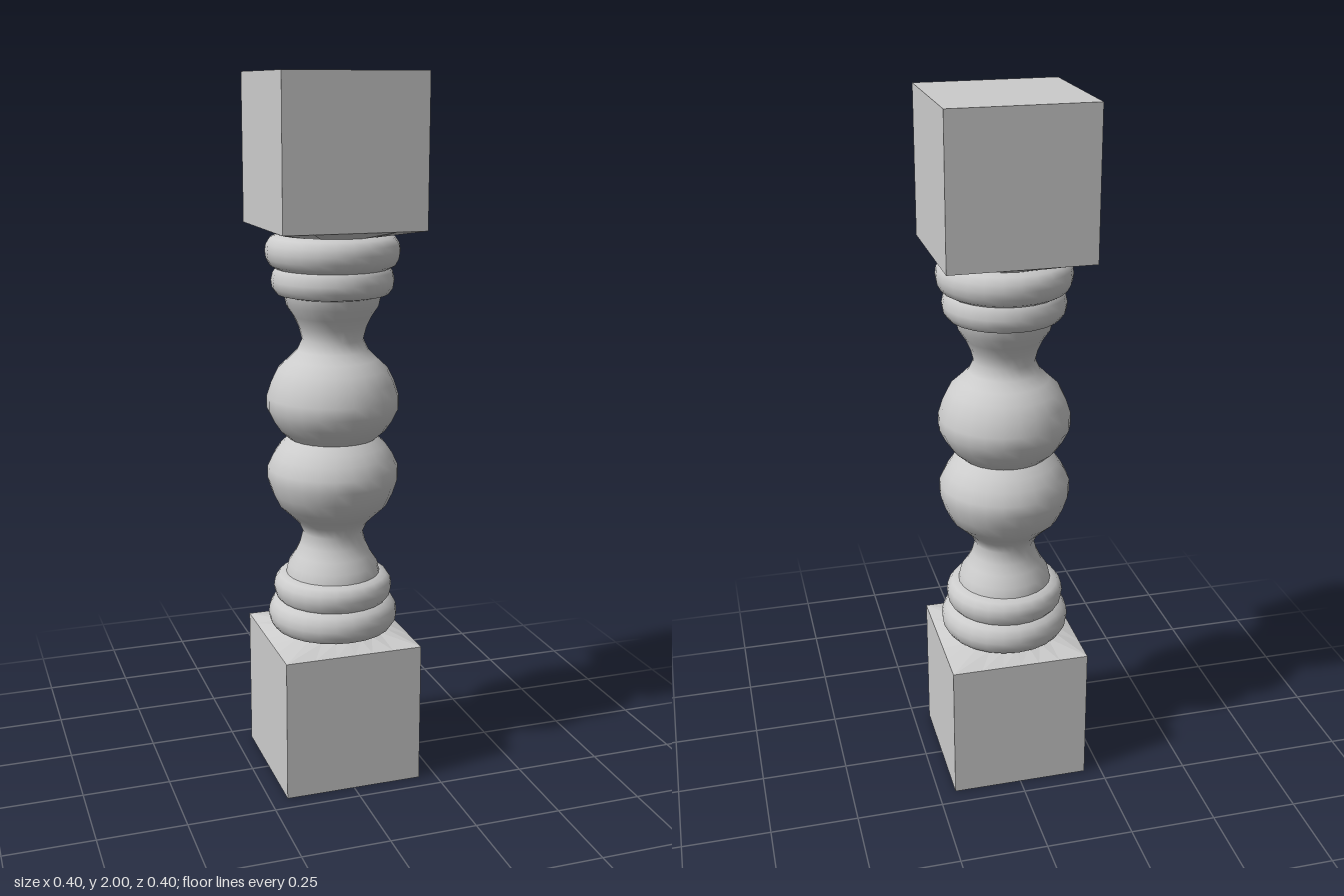
import * as THREE from 'three';

const SEGMENTS = 24;
const material = new THREE.MeshStandardMaterial({ color: 0xcccccc });

function addMesh(parent, name, geometry) {
  const mesh = new THREE.Mesh(geometry, material);
  mesh.name = name;
  parent.add(mesh);
  return mesh;
}

// Turned section from [radius, height] pairs, listed bottom to top
function turned(points) {
  return new THREE.LatheGeometry(points.map(([r, y]) => new THREE.Vector2(r, y)), SEGMENTS);
}

// Shallow slope that runs from a square outline up to a round one
function squareToRound(half, y0, radius, y1) {
  const positions = [];
  const corner = (i, round) => {
    const a = (i / SEGMENTS) * Math.PI * 2;
    const s = Math.sin(a), c = Math.cos(a);
    const r = round ? radius : half / Math.max(Math.abs(s), Math.abs(c));
    return [s * r, round ? y1 : y0, c * r];
  };
  for (let i = 0; i < SEGMENTS; i++) {
    const a = corner(i, false), b = corner(i + 1, false);
    const c = corner(i + 1, true), d = corner(i, true);
    positions.push(...a, ...b, ...c, ...a, ...c, ...d);
  }
  const geometry = new THREE.BufferGeometry();
  geometry.setAttribute('position', new THREE.Float32BufferAttribute(positions, 3));
  geometry.computeVertexNormals();
  return geometry;
}

// One half of the baluster, from the square block to the waist at y = 1
function createHalf(name) {
  const half = new THREE.Group();
  half.name = name;

  const block = addMesh(half, 'squareBlock', new THREE.BoxGeometry(0.4, 0.41, 0.4));
  block.position.y = 0.205;
  addMesh(half, 'blockShoulder', squareToRound(0.2, 0.41, 0.15, 0.43));

  // Two stacked rings
  addMesh(half, 'largeRing', turned([
    [0.15, 0.43], [0.172, 0.437], [0.184, 0.455], [0.187, 0.475],
    [0.184, 0.495], [0.174, 0.513], [0.158, 0.522],
  ]));
  addMesh(half, 'smallRing', turned([
    [0.158, 0.522], [0.166, 0.532], [0.171, 0.555], [0.168, 0.575],
    [0.156, 0.592], [0.135, 0.597],
  ]));

  // Flared neck flowing into the bulb
  addMesh(half, 'neckAndBulb', turned([
    [0.135, 0.597], [0.129, 0.625], [0.109, 0.655], [0.095, 0.685],
    [0.086, 0.72], [0.1, 0.75], [0.125, 0.775], [0.155, 0.803],
    [0.173, 0.84], [0.186, 0.88], [0.186, 0.915], [0.169, 0.95],
    [0.15, 0.978], [0.125, 1.0],
  ]));
  return half;
}

export function createModel() {
  const baluster = new THREE.Group();
  baluster.name = 'baluster';

  // The upper half is the lower one turned upside down
  const lower = createHalf('lowerHalf');
  const upper = createHalf('upperHalf');
  upper.rotation.x = Math.PI;
  upper.position.y = 2;
  baluster.add(lower, upper);
  return baluster;
}
